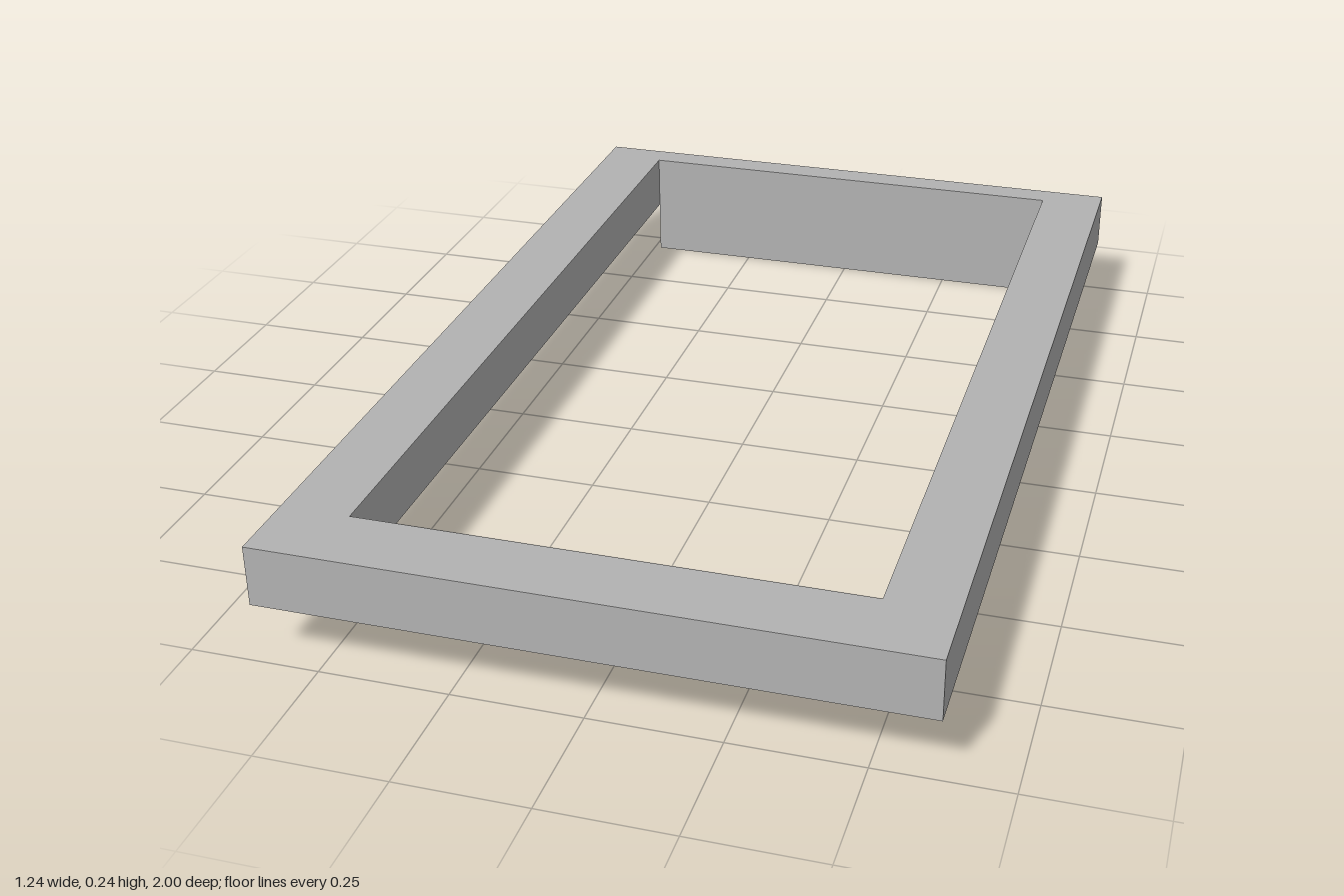
import * as THREE from 'three';

const grey = new THREE.MeshStandardMaterial({ color: 0xb2b2b2 });
grey.name = 'grey';

// Rectangle in plan; y of the shape is -z of the model
function rect(target, x0, x1, z0, z1) {
  target.moveTo(x0, -z1);
  target.lineTo(x1, -z1);
  target.lineTo(x1, -z0);
  target.lineTo(x0, -z0);
  target.closePath();
  return target;
}

// Round-ended groove in plan
function slot(x, z0, z1, r) {
  const p = new THREE.Path();
  p.moveTo(x + r, -z1 + r);
  p.lineTo(x + r, -z0 - r);
  p.absarc(x, -z0 - r, r, 0, Math.PI, false);
  p.lineTo(x - r, -z1 + r);
  p.absarc(x, -z1 + r, r, Math.PI, Math.PI * 2, false);
  return p;
}

// One horizontal layer of the frame
function layer(name, y0, y1, holes) {
  const shape = rect(new THREE.Shape(), -0.62, 0.62, -1, 1);
  shape.holes.push(rect(new THREE.Path(), -0.485, 0.485, -0.94, 0.855), ...holes);
  const geo = new THREE.ExtrudeGeometry(shape, { depth: y1 - y0, bevelEnabled: false, curveSegments: 10 });
  geo.rotateX(-Math.PI / 2).translate(0, y0, 0);
  const mesh = new THREE.Mesh(geo, grey);
  mesh.name = name;
  return mesh;
}

export function createModel() {
  const model = new THREE.Group();
  model.name = 'trayFrame';

  // Frame: solid upper layer, lower layer with a groove under each side rail
  model.add(layer('upperFrame', 0.155, 0.24, []));
  model.add(layer('lowerFrame', 0.12, 0.155, [-1, 1].map((s) => slot(s * 0.555, -0.95, 0.85, 0.043))));

  // Lip hanging below the back rail
  const lip = new THREE.Mesh(new THREE.BoxGeometry(0.97, 0.12, 0.06), grey);
  lip.name = 'backLip';
  lip.position.set(0, 0.06, -0.97);
  model.add(lip);

  // Tapered pads under the front corners
  for (const s of [-1, 1]) {
    const geo = new THREE.CylinderGeometry(0.043 * Math.SQRT2, 0.03 * Math.SQRT2, 0.009, 4).toNonIndexed();
    geo.rotateY(Math.PI / 4);
    geo.computeVertexNormals();
    const pad = new THREE.Mesh(geo, grey);
    pad.name = s > 0 ? 'leftPad' : 'rightPad';
    pad.position.set(s * 0.555, 0.1165, 0.925);
    model.add(pad);
  }
  return model;
}
